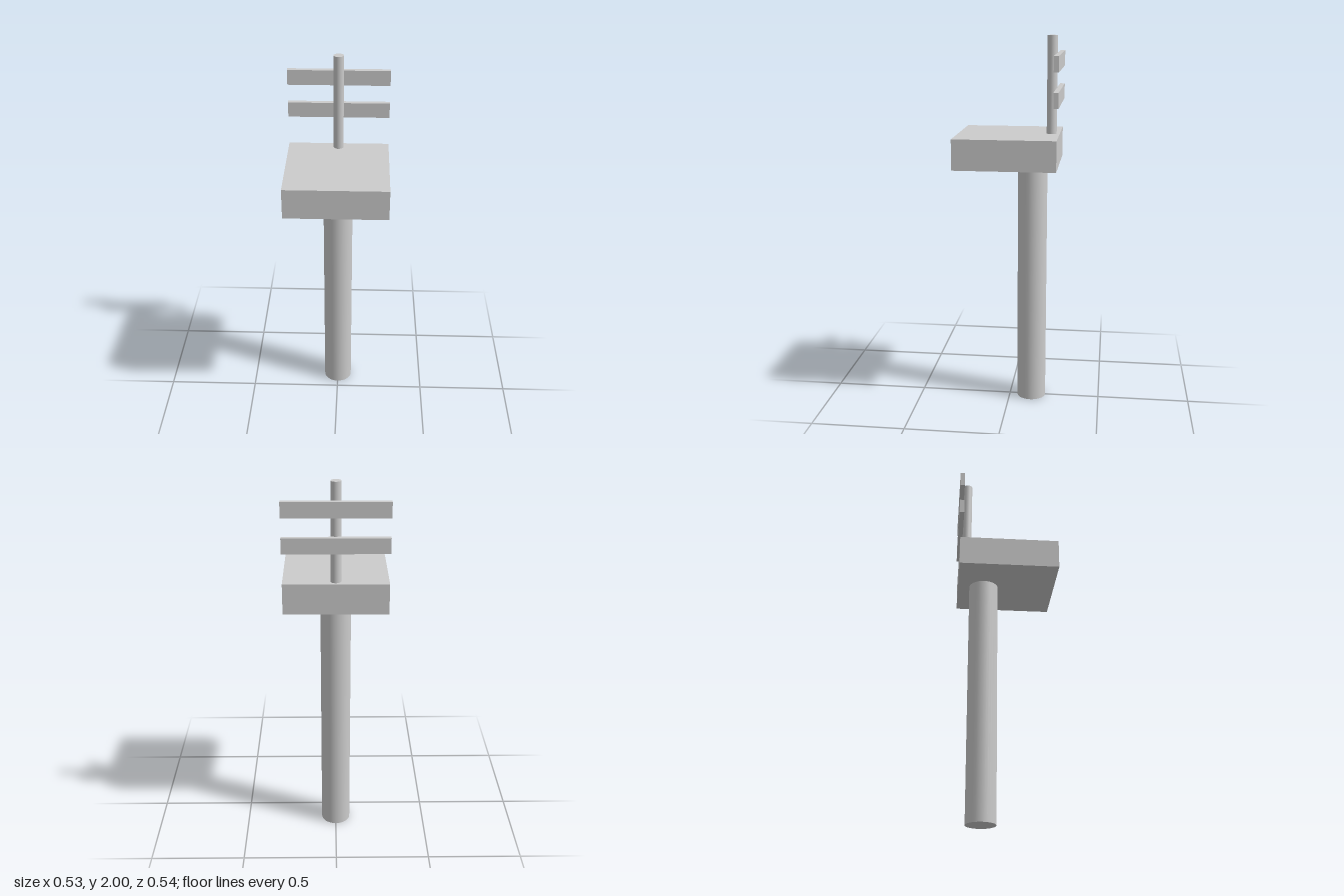
import * as THREE from 'three';

export function createModel() {
  const group = new THREE.Group();
  const grey = new THREE.MeshStandardMaterial({ color: 0xcccccc });

  const add = (name, geometry, x, y, z) => {
    const mesh = new THREE.Mesh(geometry, grey);
    mesh.name = name;
    mesh.position.set(x, y, z);
    group.add(mesh);
  };

  // Round upright standing on bottomY
  const addPost = (name, radius, bottomY, topY, z) =>
    add(name, new THREE.CylinderGeometry(radius, radius, topY - bottomY, 32), 0, (bottomY + topY) / 2, z);

  const width = 0.533;
  const seatBottom = 1.333, seatTop = 1.493;

  // Pedestal leg and thick square seat
  addPost('pedestal', 0.079, 0, seatBottom, -0.121);
  add('seat', new THREE.BoxGeometry(width, seatTop - seatBottom, 0.533), 0, (seatBottom + seatTop) / 2, 0.0035);

  // Backrest: a thin post with two slats behind it
  addPost('backPost', 0.0265, seatTop, 2, -0.22);
  for (const [name, y] of [['lowerSlat', 1.692], ['upperSlat', 1.87]]) {
    add(name, new THREE.BoxGeometry(width, 0.08, 0.0255), 0, y, -0.2575);
  }

  return group;
}
